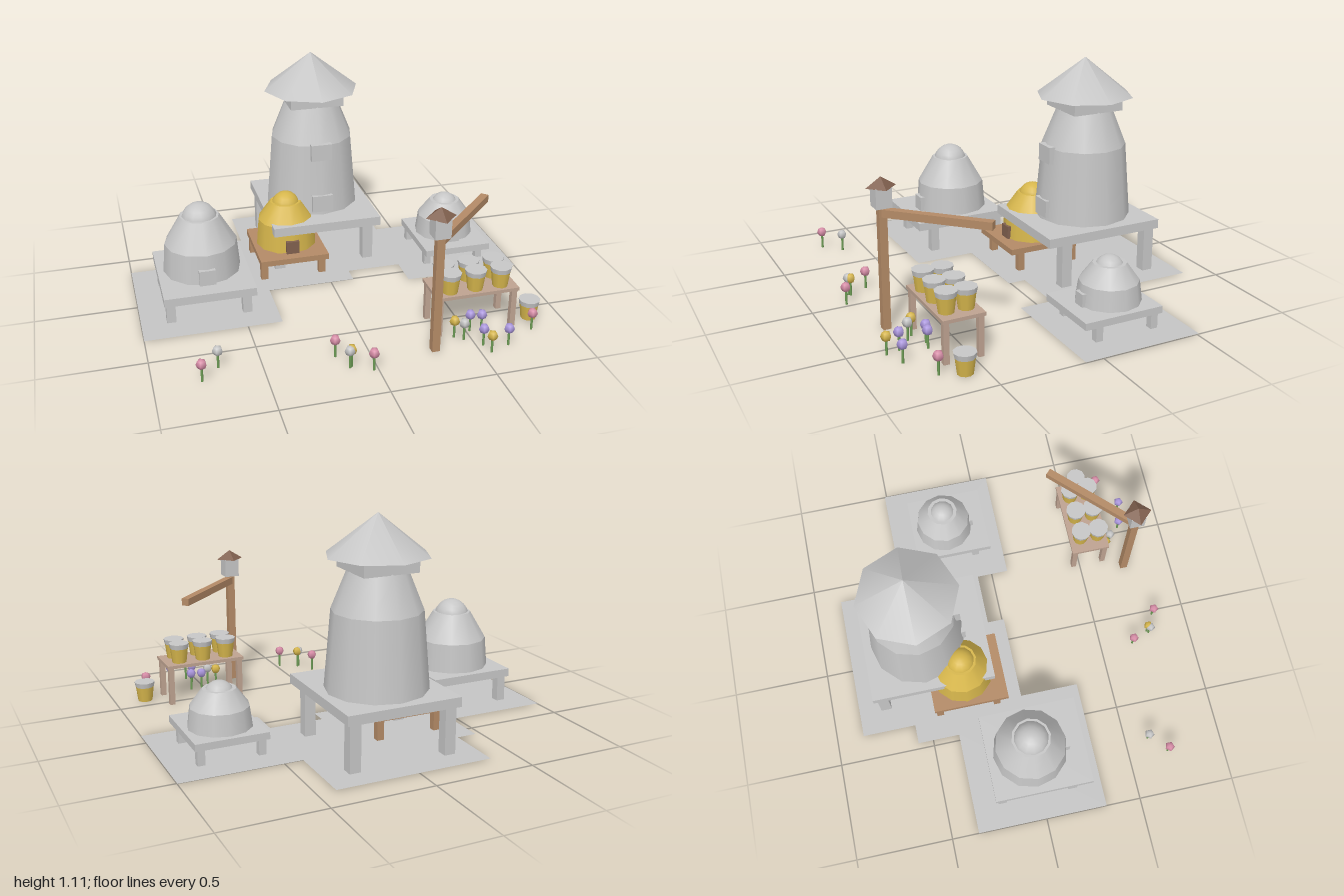
import * as THREE from 'three';

const mat = (name, color, extra = {}) => Object.assign(new THREE.MeshStandardMaterial({ color, ...extra }), { name });

export function createModel() {
  const grey = mat('pale grey', 0xc6c6c6);
  const ground = mat('ground grey', 0xc4c4c4, { side: THREE.DoubleSide });
  const straw = mat('straw yellow', 0xd6b64c);
  const wood = mat('wood', 0xb38a66);
  const darkWood = mat('dark wood', 0x80604e);
  const tableWood = mat('table wood', 0xbda290);
  const pink = mat('petal pink', 0xd68ca6);
  const purple = mat('petal purple', 0xaa96dc);
  const green = mat('stem green', 0x6e9e56);

  const root = new THREE.Group();
  root.name = 'beeYard';

  const group = (name, x, z, y = 0) => {
    const g = new THREE.Group();
    g.name = name;
    g.position.set(x, y, z);
    root.add(g);
    return g;
  };
  const add = (parent, name, geo, material, x, y, z) => {
    const m = new THREE.Mesh(geo, material);
    m.name = name;
    m.position.set(x, y, z);
    parent.add(m);
    return m;
  };
  // box given by centre x, z and bottom / top heights
  const box = (parent, name, material, x, z, y0, y1, w, d) =>
    add(parent, name, new THREE.BoxGeometry(w, y1 - y0, d), material, x, (y0 + y1) / 2, z);

  // four legs mirrored about the group centre
  const legs = (parent, material, height, sx, sz, w, oz = 0) => {
    for (const i of [-1, 1]) for (const j of [-1, 1])
      box(parent, 'leg', material, i * sx, oz + j * sz, 0, height, w, w);
  };

  // hive body from stacked tapering bands: profile is [radius, y] pairs
  const bands = (parent, profile, material) => {
    for (let i = 0; i + 1 < profile.length; i++) {
      const [r0, y0] = profile[i], [r1, y1] = profile[i + 1];
      add(parent, 'hiveBand', new THREE.CylinderGeometry(r1, r0, y1 - y0, 12), material, 0, (y0 + y1) / 2, 0);
    }
  };

  // deck with a porch toward the front, standing on four legs
  const platform = (parent, material, half, porch, y0, y1, legSpread, legW) => {
    box(parent, 'deck', material, 0, porch / 2, y0, y1, half * 2, half * 2 + porch);
    legs(parent, material, y0, legSpread, legSpread, legW);
  };

  // ground patches joined into one sheet
  const outline = [
    [-1, -0.36], [-0.47, -0.36], [-0.47, -0.58], [-0.37, -0.58], [-0.37, -0.86], [0.41, -0.86],
    [0.41, -0.51], [1, -0.51], [1, 0.09], [0.4, 0.09], [0.4, -0.08], [0.12, -0.08],
    [0.12, 0.01], [-0.33, 0.01], [-0.33, 0.32], [-1, 0.32],
  ];
  const sheet = new THREE.ShapeGeometry(new THREE.Shape(outline.map(([x, z]) => new THREE.Vector2(x, -z))));
  sheet.rotateX(-Math.PI / 2);
  add(root, 'groundPatch', sheet, ground, 0, 0.003, 0);

  // domed hives on platforms
  const hives = [
    {
      name: 'leftHive', x: -0.665, z: -0.02, body: grey, base: grey, doorMat: grey,
      deck: [0.224, 0.06, 0.135, 0.177, 0.188, 0.045],
      profile: [[0.193, 0.177], [0.18, 0.325], [0.098, 0.465]],
      dome: [0.09, 0.44], door: [0.08, 0.177, 0.255, 0.2],
    },
    {
      name: 'strawHive', x: -0.173, z: -0.28, body: straw, base: wood, doorMat: darkWood,
      deck: [0.181, 0.035, 0.1, 0.13, 0.155, 0.036],
      profile: [[0.16, 0.13], [0.148, 0.27], [0.082, 0.365]],
      dome: [0.075, 0.34], door: [0.068, 0.13, 0.198, 0.165],
    },
    {
      name: 'rightHive', x: 0.7, z: -0.21, body: grey, base: grey, doorMat: grey,
      deck: [0.179, 0.05, 0.08, 0.115, 0.147, 0.036],
      profile: [[0.155, 0.115], [0.142, 0.215], [0.08, 0.3]],
      dome: [0.072, 0.264], door: [0.062, 0.115, 0.178, 0.16],
    },
  ];
  for (const h of hives) {
    const g = group(h.name, h.x, h.z);
    platform(g, h.base, ...h.deck);
    bands(g, h.profile, h.body);
    add(g, 'dome', new THREE.SphereGeometry(h.dome[0], 12, 6, 0, Math.PI * 2, 0, Math.PI / 2), h.body, 0, h.dome[1], 0);
    const [w, y0, y1, front] = h.door;
    box(g, 'door', h.doorMat, 0, front - 0.025, y0, y1, w, 0.05);
  }

  // tower hive with a conical roof
  const tower = group('towerHive', 0.018, -0.472);
  platform(tower, grey, 0.288, 0.065, 0.235, 0.283, 0.243, 0.056);
  bands(tower, [[0.248, 0.283], [0.216, 0.66], [0.14, 0.85]], grey);
  box(tower, 'neck', grey, 0, 0, 0.845, 0.915, 0.28, 0.28);
  add(tower, 'roof', new THREE.ConeGeometry(0.25, 0.195, 8), grey, 0, 1.01, 0);
  box(tower, 'lowerDoor', grey, 0, 0.225, 0.3, 0.39, 0.11, 0.045);
  box(tower, 'upperDoor', grey, 0, 0.209, 0.585, 0.673, 0.11, 0.045);

  // lantern post with a diagonal arm
  const post = group('lanternPost', 0.3, 0.74);
  box(post, 'post', wood, 0, 0, 0, 0.6, 0.038, 0.038);
  box(post, 'lantern', grey, 0, 0, 0.595, 0.69, 0.076, 0.076);
  add(post, 'lanternRoof', new THREE.ConeGeometry(0.072, 0.047, 4).toNonIndexed(), darkWood, 0, 0.712, 0)
    .geometry.computeVertexNormals();
  const arm = box(post, 'arm', wood, 0.185, -0.185, 0.55, 0.587, 0.53, 0.038);
  arm.rotation.y = Math.PI / 4;

  // table
  const table = group('table', 0.547, 0.548);
  box(table, 'tableTop', tableWood, 0, 0, 0.196, 0.213, 0.415, 0.205);
  legs(table, tableWood, 0.196, 0.187, 0.083, 0.027);

  // honey buckets with lids
  const bucket = (x, y, z) => {
    const g = group('bucket', x, z, y);
    add(g, 'pail', new THREE.CylinderGeometry(0.047, 0.037, 0.08, 10), straw, 0, 0.04, 0);
    add(g, 'lid', new THREE.CylinderGeometry(0.053, 0.048, 0.026, 10), grey, 0, 0.09, 0);
  };
  for (const x of [0.42, 0.547, 0.675]) for (const z of [0.505, 0.6]) bucket(x, 0.213, z);
  bucket(0.845, 0, 0.59);

  // flowers: [x, z, petal]
  const flowers = [
    [-0.783, 0.707, pink], [-0.697, 0.62, grey], [-0.163, 0.675, pink], [-0.112, 0.77, straw],
    [-0.122, 0.778, grey], [-0.022, 0.823, pink], [0.425, 0.665, straw], [0.462, 0.697, grey],
    [0.532, 0.765, purple], [0.647, 0.793, purple], [0.547, 0.83, straw], [0.572, 0.645, purple],
    [0.518, 0.632, purple], [0.81, 0.697, pink],
  ];
  for (const [x, z, petal] of flowers) {
    const g = group('flower', x, z);
    add(g, 'stem', new THREE.CylinderGeometry(0.006, 0.006, 0.085, 5), green, 0, 0.0425, 0);
    add(g, 'blossom', new THREE.SphereGeometry(0.026, 5, 4), petal, 0, 0.091, 0);
  }
  return root;
}
